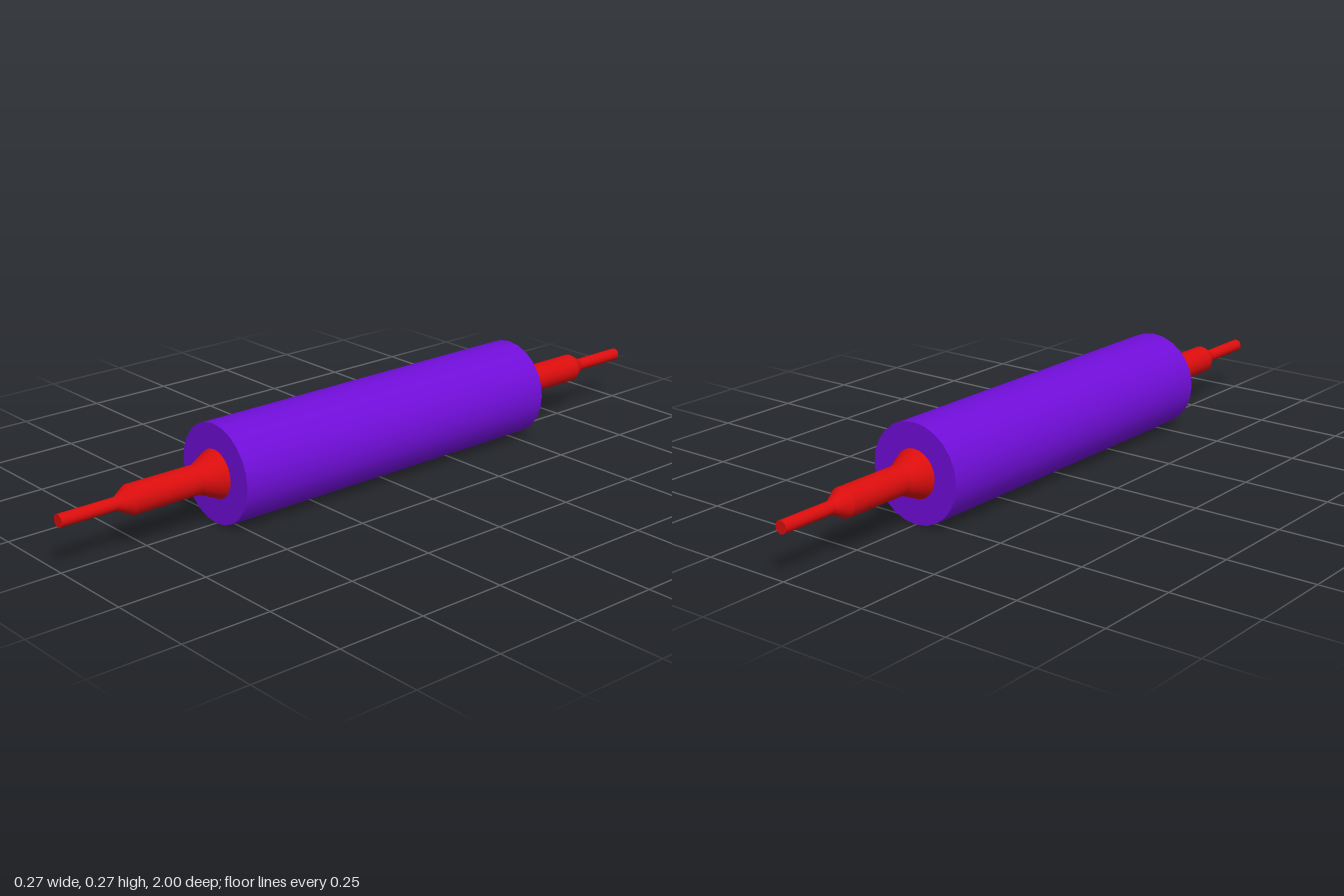
import * as THREE from 'three';

const SIDES = 24;
const AXIS_Y = 0.137;

const purple = new THREE.MeshStandardMaterial({ color: 0x700ed8 });
purple.name = 'purple';
const red = new THREE.MeshStandardMaterial({ color: 0xdb0d0d });
red.name = 'red';

// Round section along z, from z0 (radius r0) to z1 (radius r1)
function section(name, material, z0, r0, z1, r1, open) {
  const geometry = new THREE.CylinderGeometry(r1, r0, z1 - z0, SIDES, 1, open);
  geometry.rotateX(Math.PI / 2);
  geometry.translate(0, 0, (z0 + z1) / 2);
  const mesh = new THREE.Mesh(geometry, material);
  mesh.name = name;
  return mesh;
}

// Handle pointing along +z: flared base, grip, taper and thin capped tip
function makeHandle(name) {
  const handle = new THREE.Group();
  handle.name = name;
  handle.add(
    section('handleFlare', red, 0.533, 0.067, 0.592, 0.04, true),
    section('handleGrip', red, 0.592, 0.04, 0.795, 0.04, true),
    section('handleTaper', red, 0.795, 0.04, 0.835, 0.0175, true),
    section('handleTip', red, 0.835, 0.0175, 1, 0.0175, false)
  );
  return handle;
}

export function createModel() {
  const model = new THREE.Group();
  model.name = 'rollingPin';

  // Main roller
  model.add(section('roller', purple, -0.533, 0.137, 0.533, 0.137, false));

  // Matching handles at both ends
  const front = makeHandle('frontHandle');
  const back = makeHandle('backHandle');
  back.rotation.y = Math.PI;
  model.add(front, back);

  for (const part of model.children) part.position.y = AXIS_Y;
  return model;
}
